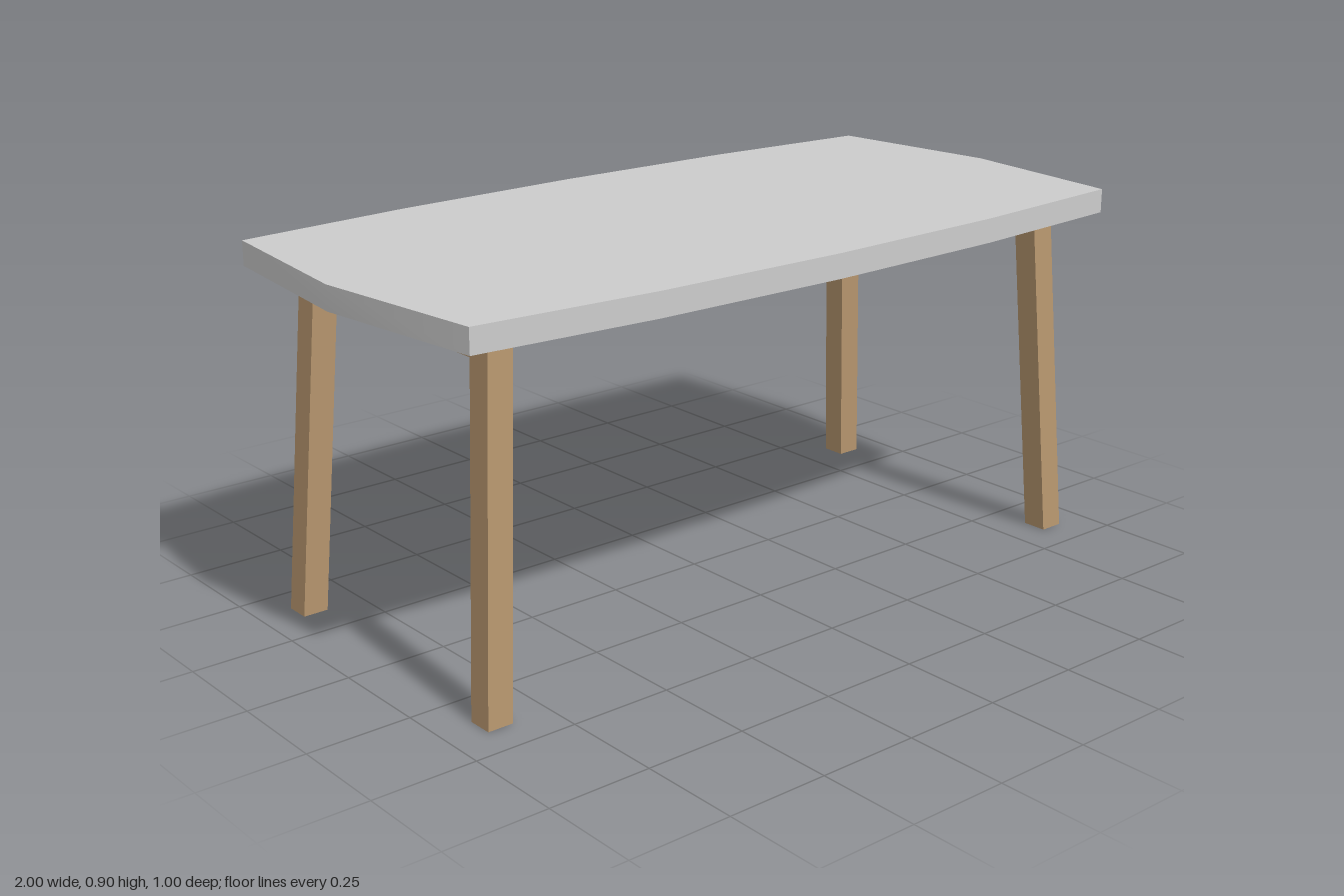
import * as THREE from 'three';
import { toCreasedNormals } from 'three/addons/utils/BufferGeometryUtils.js';

export function createModel() {
  const model = new THREE.Group();
  model.name = 'table';
  const grey = new THREE.MeshStandardMaterial({ name: 'greyTop', color: 0xcccccc });
  const wood = new THREE.MeshStandardMaterial({ name: 'lightWood', color: 0xb8976f });

  function add(name, geometry, material) {
    const mesh = new THREE.Mesh(geometry, material);
    mesh.name = name;
    model.add(mesh);
    return mesh;
  }

  // Tabletop: bowed outline with sharp corners and softly shaded edges
  const half = [[1, 0], [0.95, 0.453], [0.5, 0.488], [0, 0.5], [-0.5, 0.488], [-0.95, 0.453], [-1, 0]];
  const outline = [...half, ...half.slice(1, -1).reverse().map(([x, z]) => [x, -z])];
  const shape = new THREE.Shape(outline.map(([x, z]) => new THREE.Vector2(x, z)));
  const top = new THREE.ExtrudeGeometry(shape, { depth: 0.059, bevelEnabled: false });
  top.rotateX(-Math.PI / 2).translate(0, 0.842, 0);
  add('tabletop', toCreasedNormals(top, 0.5), grey);

  // Legs: square posts sheared so the feet splay outwards
  const legHeight = 0.842, legWidth = 0.063;
  for (const sx of [1, -1]) {
    for (const sz of [1, -1]) {
      const leg = new THREE.BoxGeometry(legWidth, legHeight, legWidth);
      leg.translate(0, legHeight / 2, 0);
      const pos = leg.attributes.position;
      for (let i = 0; i < pos.count; i++) {
        const t = pos.getY(i) / legHeight;
        pos.setX(i, pos.getX(i) + sx * (0.879 - 0.057 * t));
        pos.setZ(i, pos.getZ(i) + sz * (0.381 - 0.04 * t));
      }
      leg.computeVertexNormals();
      add((sz > 0 ? 'front' : 'back') + (sx > 0 ? 'Left' : 'Right') + 'Leg', leg, wood);
    }
    // Rail joining the pair of legs at each end
    const rail = add(sx > 0 ? 'leftRail' : 'rightRail', new THREE.BoxGeometry(0.052, 0.058, 0.626), wood);
    rail.position.set(sx * 0.824, 0.813, 0);
  }
  return model;
}
